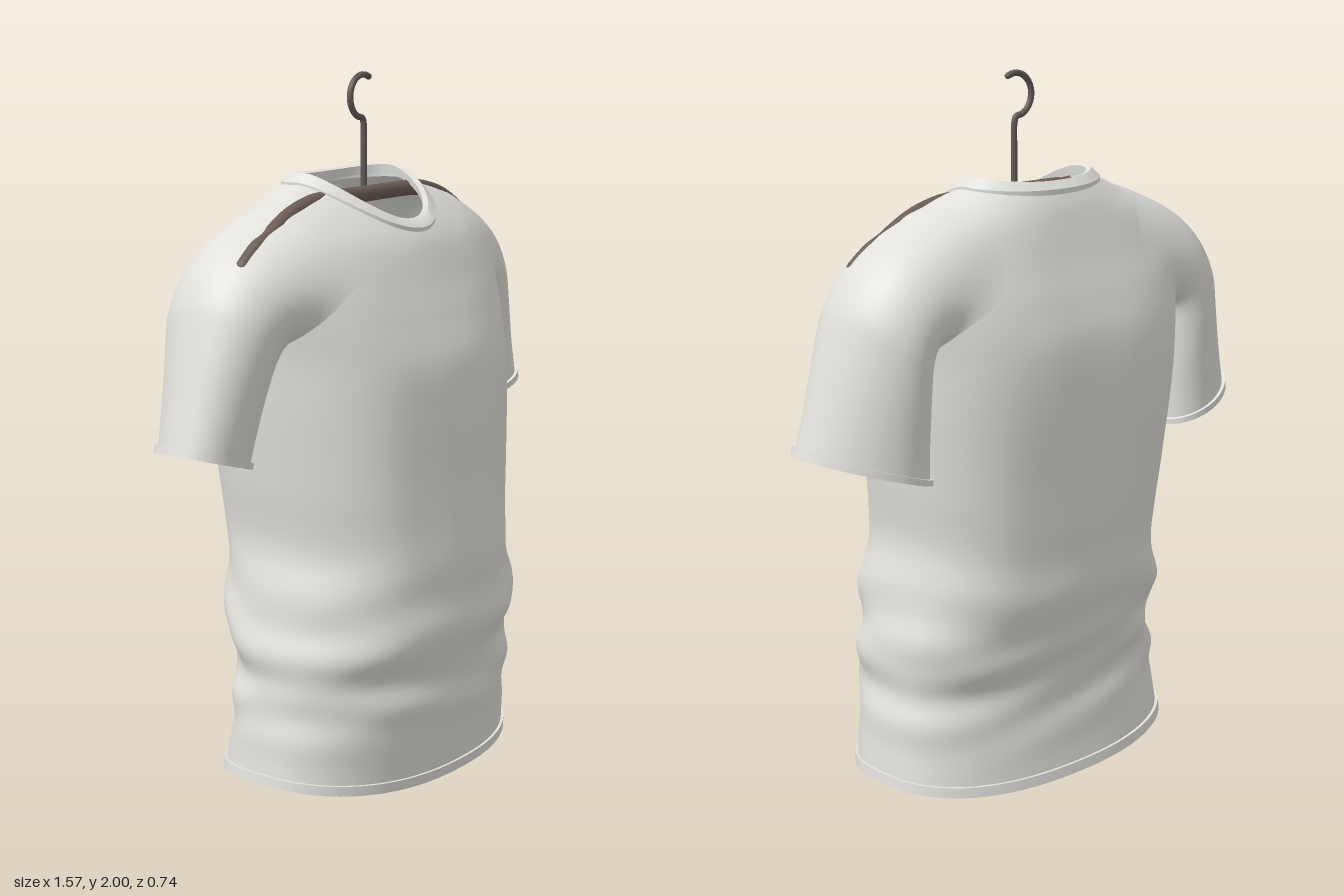
import * as THREE from 'three';
import { toCreasedNormals } from 'three/addons/utils/BufferGeometryUtils.js';

const cloth = new THREE.MeshStandardMaterial({ color: 0xe2e0db, side: THREE.DoubleSide });
cloth.name = 'offWhiteCloth';
const wood = new THREE.MeshStandardMaterial({ color: 0x6b5d55 });
wood.name = 'brownWood';
const metal = new THREE.MeshStandardMaterial({ color: 0x625b57 });
metal.name = 'darkMetal';

// Smooth interpolation between rows of cross-section parameters
function sampleRows(rows, v) {
  const last = rows.length - 1;
  const i = Math.min(Math.floor(v), last - 1);
  const t = v - i;
  const at = (k) => rows[Math.max(0, Math.min(last, k))];
  return rows[i].map((b, k) => {
    const a = at(i - 1)[k], c = at(i + 1)[k], d = at(i + 2)[k];
    return b + 0.5 * t * (c - a + t * (2 * a - 5 * b + 4 * c - d + t * (3 * (b - c) + d - a)));
  });
}

// Skin a list of [row, outward offset] rings
function loft(ring, steps, segs) {
  const pos = [], index = [];
  steps.forEach(([v, out], j) => {
    for (let i = 0; i < segs; i++) {
      pos.push(...ring(v, (i / segs) * Math.PI * 2, out));
      if (j === 0) continue;
      const n = (i + 1) % segs;
      const a = (j - 1) * segs + i, b = j * segs + i;
      const c = (j - 1) * segs + n, d = j * segs + n;
      index.push(a, b, c, c, b, d);
    }
  });
  const geo = new THREE.BufferGeometry();
  geo.setAttribute('position', new THREE.Float32BufferAttribute(pos, 3));
  geo.setIndex(index);
  geo.computeVertexNormals();
  return geo;
}

const range = (rows, per) =>
  Array.from({ length: (rows.length - 1) * per + 1 }, (_, i) => [i / per, 0]);
const bandSteps = (v, inner, outer) => [[0, inner], [0, outer], [v, outer], [v, inner]];
const bell = (x, mid, width) => Math.exp(-(((x - mid) / width) ** 2));
const power = (x, e) => Math.sign(x) * Math.abs(x) ** e;

// Cloth folds: slanted creases round the waist, hollows down the back
function folds(y, c, s) {
  const waist = bell(y, 0.42, 0.2) * 0.01 * Math.sin(27 * y - 3.5 * c + 2 * s + 1.5 * Math.sin(3 * c));
  const fine = bell(y, 0.3, 0.14) * 0.005 * Math.sin(44 * y + 5 * c - 1.5 * s);
  const drape = bell(y, 0.9, 0.4) * 0.005 * Math.cos(9 * c) * Math.abs(s);
  const spine = s < 0 ? -0.02 * bell(c, 0, 0.25) * bell(y, 1.1, 0.4) * -s : 0;
  return waist + fine + drape + spine;
}

// Torso rows: half width, side y, side z, front y, front z, back y, back z, roundness
const torsoRows = [
  [0.505, 0.04, 0, 0.006, 0.30, 0.008, -0.315, 0.88],
  [0.485, 0.20, 0, 0.18, 0.32, 0.18, -0.29, 0.88],
  [0.47, 0.36, 0, 0.34, 0.335, 0.34, -0.285, 0.87],
  [0.455, 0.52, -0.01, 0.50, 0.362, 0.48, -0.335, 0.86],
  [0.41, 0.70, -0.02, 0.68, 0.358, 0.66, -0.358, 0.85],
  [0.428, 0.90, -0.03, 0.88, 0.348, 0.88, -0.375, 0.84],
  [0.445, 1.10, -0.04, 1.08, 0.342, 1.10, -0.386, 0.84],
  [0.455, 1.25, -0.05, 1.22, 0.33, 1.28, -0.377, 0.84],
  [0.475, 1.40, -0.05, 1.34, 0.285, 1.40, -0.342, 0.83],
  [0.475, 1.52, -0.05, 1.43, 0.245, 1.50, -0.30, 0.86],
  [0.42, 1.62, -0.05, 1.50, 0.215, 1.58, -0.27, 0.92],
  [0.32, 1.662, -0.05, 1.54, 0.195, 1.645, -0.245, 0.97],
  [0.225, 1.70, -0.08, 1.575, 0.17, 1.69, -0.22, 1],
];

// Ribbed collar, from its outer edge over to the inside of the neck
const collarRows = [
  [0.232, 1.685, -0.08, 1.562, 0.177, 1.675, -0.227, 1],
  [0.232, 1.704, -0.08, 1.577, 0.180, 1.693, -0.227, 1],
  [0.207, 1.730, -0.08, 1.598, 0.158, 1.714, -0.204, 1],
  [0.192, 1.724, -0.08, 1.600, 0.142, 1.710, -0.190, 1],
  [0.195, 1.697, -0.08, 1.580, 0.146, 1.687, -0.194, 1],
];

function torsoRing(rows) {
  return (v, phi, out) => {
    const [hw, yS, zS, yF, zF, yB, zB, e] = sampleRows(rows, v);
    const c = Math.cos(phi), s = Math.sin(phi);
    const y = yS + ((s > 0 ? yF : yB) - yS) * Math.abs(s) ** 1.6;
    const o = out + folds(y, c, s);
    // The back is broader than the front, most of all at the shoulder blades
    const backE = e - 0.12 - 0.16 * bell(y, 1.3, 0.3);
    const z = s > 0 ? (zF - zS + o) * power(s, e) : (zS - zB + o) * power(s, backE);
    return [(hw + o) * power(c, e), y - 0.014 * c * bell(y, 0, 0.25), zS + z];
  };
}
const torso = torsoRing(torsoRows);

// Sleeve rows from cuff to shoulder: outer x, y, inner x, y, centre z, half depth, twist
const sleeveRows = [
  [0.775, 1.035, 0.46, 0.94, -0.105, 0.14, 0.055],
  [0.735, 1.17, 0.455, 1.03, -0.10, 0.15, 0.045],
  [0.695, 1.31, 0.45, 1.12, -0.095, 0.165, 0.035],
  [0.655, 1.43, 0.445, 1.20, -0.09, 0.18, 0.02],
  [0.60, 1.53, 0.445, 1.25, -0.085, 0.195, 0.005],
  [0.49, 1.59, 0.42, 1.28, -0.075, 0.21, 0],
  [0.38, 1.605, 0.38, 1.30, -0.06, 0.22, 0],
];

// Sleeve tube that melts into an oval patch of the torso at the shoulder
function sleeveRing(v, phi, out) {
  const [tx, ty, bx, by, zc, zh, twist] = sampleRows(sleeveRows, v);
  const c = Math.cos(phi), s = Math.sin(phi);
  const k = c * (0.5 + out / Math.hypot(tx - bx, ty - by));
  const tube = [
    (tx + bx) / 2 + k * (tx - bx),
    (ty + by) / 2 + k * (ty - by),
    zc + s * (zh + out) + c * twist,
  ];
  const w = Math.min(1, (6 - v) / 3.2);
  const shrink = 1 - 0.5 * w;
  const patch = torso(8.9 + 2.1 * shrink * c, 1.08 * shrink * s, 0.012 * w - 0.001);
  const mix = THREE.MathUtils.smoothstep(w, 0, 1);
  return patch.map((p, i) => p + (tube[i] - p) * mix);
}

function add(parent, name, geometry, material) {
  const mesh = new THREE.Mesh(geometry, material);
  mesh.name = name;
  parent.add(mesh);
  return mesh;
}

export function createModel() {
  const model = new THREE.Group();
  model.name = 'shirtOnHanger';

  // Shirt body with hem and collar
  add(model, 'torso', loft(torso, range(torsoRows, 9), 128), cloth);
  add(model, 'hem', toCreasedNormals(loft(torso, bandSteps(0.24, -0.008, 0.008), 96), 0.7), cloth);
  const collar = loft(torsoRing(collarRows), range(collarRows, 1), 72);
  add(model, 'collar', toCreasedNormals(collar, 0.7), cloth);

  // Sleeves with cuffs
  for (const [side, name] of [[1, 'leftSleeve'], [-1, 'rightSleeve']]) {
    const sleeve = new THREE.Group();
    sleeve.name = name;
    sleeve.scale.x = side;
    add(sleeve, 'sleeve', loft(sleeveRing, range(sleeveRows, 10), 88), cloth);
    add(sleeve, 'cuff', toCreasedNormals(loft(sleeveRing, bandSteps(0.24, -0.008, 0.01), 64), 0.7), cloth);
    model.add(sleeve);
  }

  // Wooden hanger bar, just breaking through the shoulders
  const half = [
    [0.555, 1.512], [0.54, 1.525], [0.5, 1.554], [0.46, 1.573], [0.42, 1.597],
    [0.36, 1.628], [0.3, 1.647], [0.24, 1.658],
  ];
  const barPoints = [
    ...half.map(([x, y]) => new THREE.Vector3(-x, y, -0.01)),
    new THREE.Vector3(0, 1.66, -0.01),
    ...half.slice().reverse().map(([x, y]) => new THREE.Vector3(x, y, -0.01)),
  ];
  const hanger = new THREE.Group();
  hanger.name = 'hanger';
  model.add(hanger);
  add(hanger, 'hangerBar', new THREE.TubeGeometry(new THREE.CatmullRomCurve3(barPoints), 96, 0.023, 16), wood);
  for (const x of [-0.555, 0.555]) {
    add(hanger, 'barEnd', new THREE.SphereGeometry(0.023, 16, 12), wood).position.set(x, 1.512, -0.01);
  }

  // Metal stem and hook, open towards +x
  const hookPoints = [[0, 1.66], [0, 1.76], [0, 1.855]];
  for (let i = 0; i <= 10; i++) {
    const a = -Math.PI * (0.52 + (i / 10) * 1.13);
    hookPoints.push([-0.003 + 0.06 * Math.cos(a), 1.931 + 0.06 * Math.sin(a)]);
  }
  const hookCurve = new THREE.CatmullRomCurve3(hookPoints.map(([x, y]) => new THREE.Vector3(x, y, -0.025)));
  add(hanger, 'hook', new THREE.TubeGeometry(hookCurve, 80, 0.009, 10), metal);
  const [tipX, tipY] = hookPoints[hookPoints.length - 1];
  add(hanger, 'hookTip', new THREE.SphereGeometry(0.009, 10, 8), metal).position.set(tipX, tipY, -0.025);

  return model;
}
